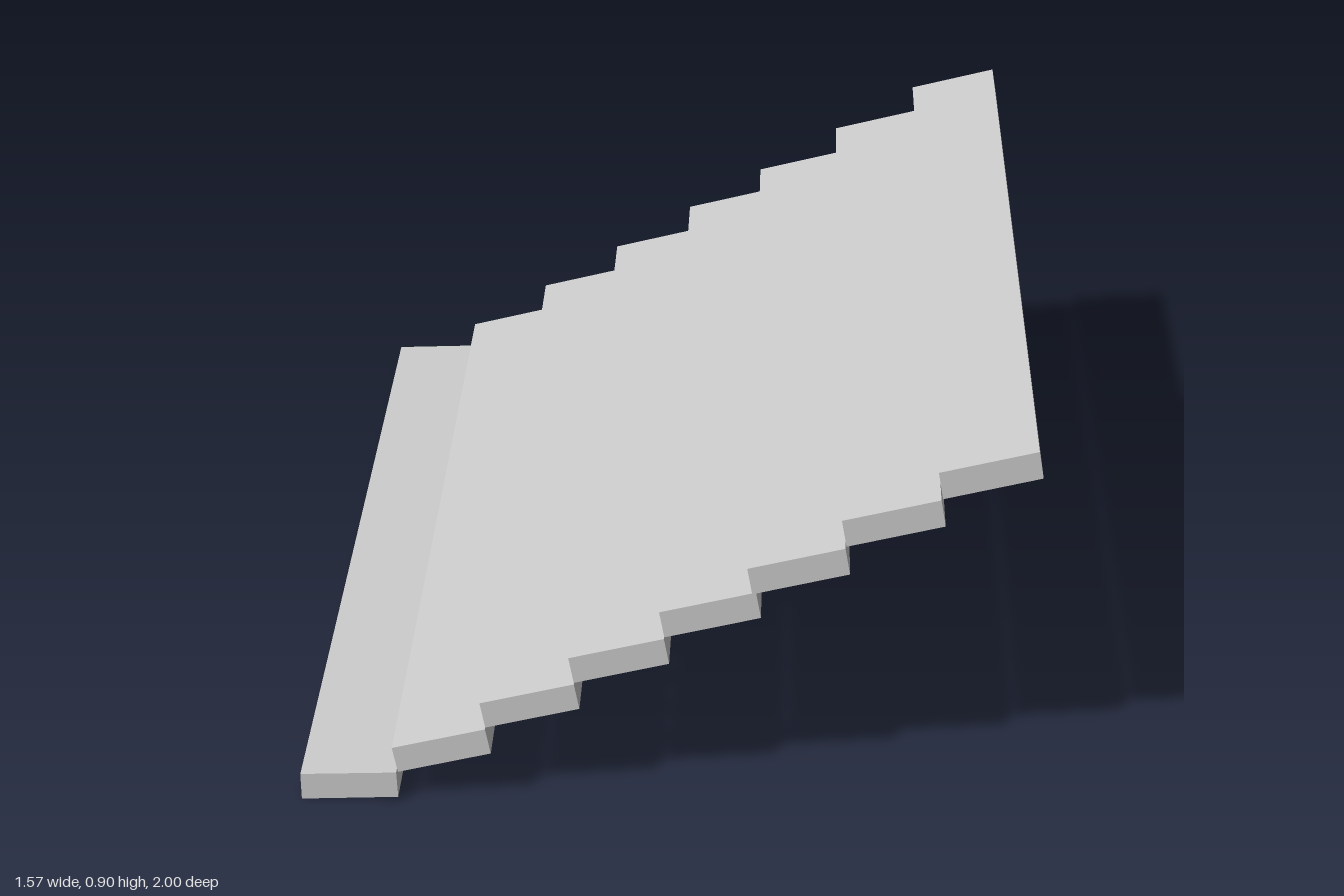
import * as THREE from 'three';

const DEPTH = 2;

// Plank with a four-cornered end profile, running the full depth along z
function plank(name, corners, material) {
  const shape = new THREE.Shape(corners.map(([x, y]) => new THREE.Vector2(x, y)));
  const geometry = new THREE.ExtrudeGeometry(shape, { depth: DEPTH, bevelEnabled: false });
  geometry.translate(0, 0, -DEPTH / 2);
  const mesh = new THREE.Mesh(geometry, material);
  mesh.name = name;
  return mesh;
}

export function createModel() {
  const group = new THREE.Group();
  group.name = 'steppedPlanks';
  const material = new THREE.MeshStandardMaterial({ color: 0xcccccc, flatShading: true });

  // Lowest plank lies almost flat
  group.add(plank('bottomPlank',
    [[-0.784, 0], [-0.573, 0.01], [-0.575, 0.074], [-0.784, 0.065]], material));

  // Tilted planks climb towards +x, each given by its upper low-side corner
  const run = [0.203, 0.053];
  const drop = [0.011, -0.062];
  const starts = [
    [-0.582, 0.138], [-0.389, 0.258], [-0.197, 0.377], [-0.004, 0.496],
    [0.18, 0.607], [0.374, 0.727], [0.569, 0.845],
  ];
  starts.forEach(([x, y], i) => {
    group.add(plank(`tiltedPlank${i + 1}`, [
      [x, y],
      [x + drop[0], y + drop[1]],
      [x + drop[0] + run[0], y + drop[1] + run[1]],
      [x + run[0], y + run[1]],
    ], material));
  });

  return group;
}
